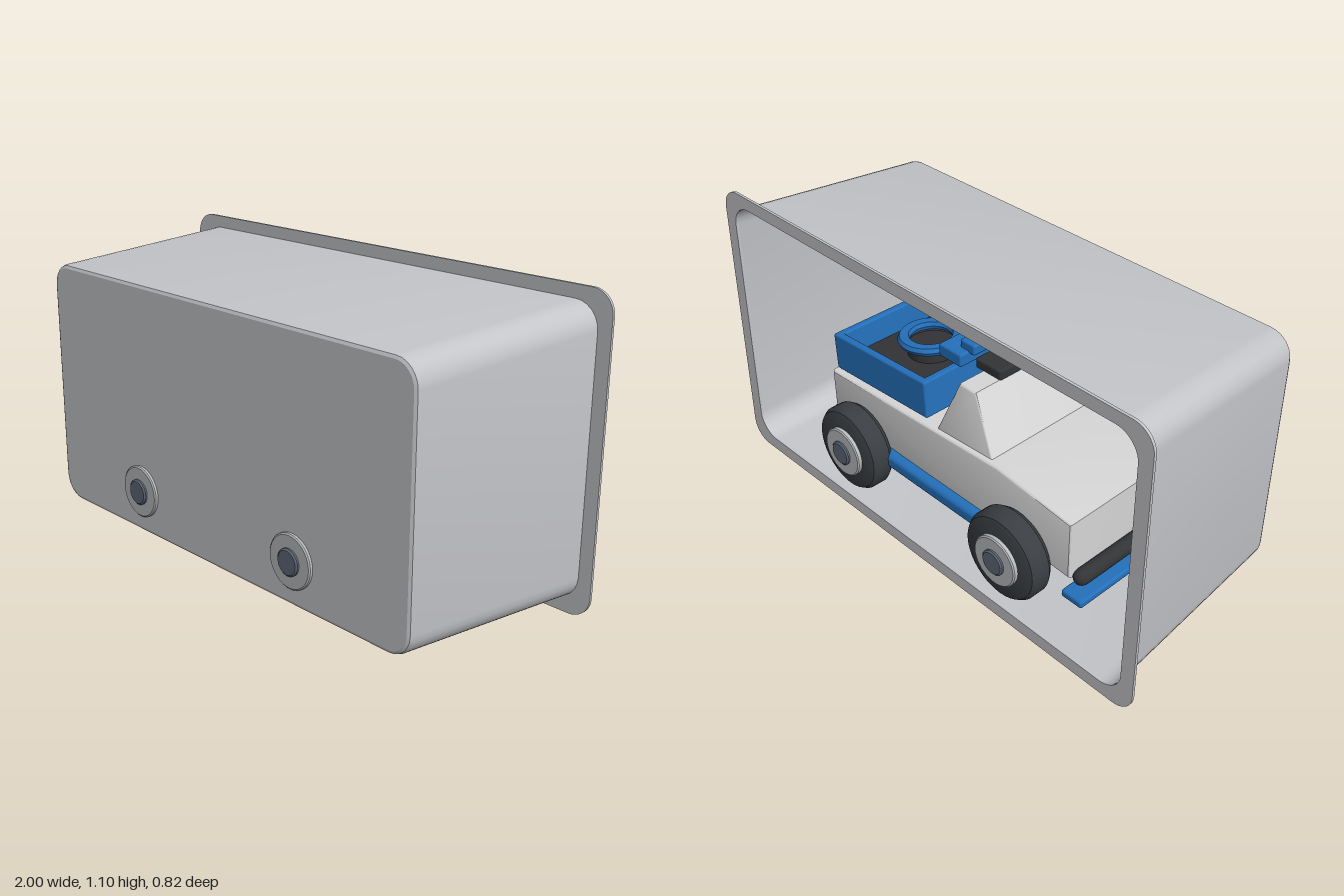
import * as THREE from 'three';
import { toCreasedNormals } from 'three/addons/utils/BufferGeometryUtils.js';
import { RoundedBoxGeometry } from 'three/addons/geometries/RoundedBoxGeometry.js';

const material = (name, color, side = THREE.FrontSide) => {
  const m = new THREE.MeshStandardMaterial({ color, side });
  m.name = name;
  return m;
};
const tubGrey = material('tub grey', 0xc4c5c9, THREE.DoubleSide);
const bodyGrey = material('body grey', 0xd6d6d6);
const hubGrey = material('hub grey', 0xb8babd);
const capSlate = material('cap slate', 0x5f6877);
const blue = material('blue', 0x2470bb);
const rubber = material('rubber', 0x3a3e42);
const trim = material('dark trim', 0x333436);

function add(parent, name, geometry, mat, x = 0, y = 0, z = 0) {
  const mesh = new THREE.Mesh(geometry, mat);
  mesh.name = name;
  mesh.position.set(x, y, z);
  parent.add(mesh);
  return mesh;
}

const block = (w, h, d, r = 0.008) => new RoundedBoxGeometry(w, h, d, 2, r);

// Rounded rectangle centred on (0, cy)
function roundedRect(Type, hw, hh, cy, r) {
  const s = new Type();
  s.absarc(hw - r, cy + hh - r, r, 0, Math.PI / 2);
  s.absarc(-hw + r, cy + hh - r, r, Math.PI / 2, Math.PI);
  s.absarc(-hw + r, cy - hh + r, r, Math.PI, Math.PI * 1.5);
  s.absarc(hw - r, cy - hh + r, r, Math.PI * 1.5, Math.PI * 2);
  s.closePath();
  return s;
}

// Tapered tray lying on its side: lofted walls, end panel and flat rim
function makeTub() {
  const tub = new THREE.Group();
  tub.name = 'tub';
  const sections = [
    [-0.378, 0.95, 0.503, 0.09], [0.37, 0.906, 0.459, 0.088],
    [0.38, 0.902, 0.455, 0.084], [0.385, 0.892, 0.445, 0.075],
  ];
  const positions = [], index = [];
  let n = 0;
  for (const [z, hw, hh, r] of sections) {
    const pts = [];
    for (let c = 0; c < 4; c++) {
      const sx = c === 0 || c === 3 ? 1 : -1, sy = c < 2 ? 1 : -1;
      for (let i = 0; i <= 6; i++) {
        const a = (c + i / 6) * Math.PI / 2;
        pts.push([sx * (hw - r) + r * Math.cos(a), 0.552 + sy * (hh - r) + r * Math.sin(a)]);
      }
    }
    n = pts.length;
    for (const [x, y] of pts) positions.push(x, y, z);
  }
  for (let k = 0; k < sections.length - 1; k++) {
    for (let i = 0; i < n; i++) {
      const a = k * n + i, b = k * n + (i + 1) % n;
      index.push(a, b, b + n, a, b + n, a + n);
    }
  }
  const walls = new THREE.BufferGeometry();
  walls.setAttribute('position', new THREE.Float32BufferAttribute(positions, 3));
  walls.setIndex(index);
  add(tub, 'tubWalls', toCreasedNormals(walls, 0.5), tubGrey);
  const panel = roundedRect(THREE.Shape, 0.892, 0.445, 0.552, 0.075);
  add(tub, 'tubEndPanel', new THREE.ShapeGeometry(panel, 6), tubGrey, 0, 0, 0.385);
  const rim = roundedRect(THREE.Shape, 1, 0.55, 0.55, 0.08);
  rim.holes.push(roundedRect(THREE.Path, 0.948, 0.501, 0.552, 0.088));
  const rimGeometry = new THREE.ExtrudeGeometry(rim, { depth: 0.01, bevelEnabled: false, curveSegments: 8 });
  add(tub, 'rim', rimGeometry, tubGrey, 0, 0, -0.385);
  return tub;
}

// Turned part about the z axis, outer face toward +z
function turned(profile) {
  const g = new THREE.LatheGeometry(profile.map(([r, h]) => new THREE.Vector2(r, h)), 36);
  g.rotateX(Math.PI / 2);
  return toCreasedNormals(g, 0.6);
}

function makeWheel(x, side) {
  const wheel = new THREE.Group();
  wheel.name = 'wheel';
  add(wheel, 'tire', turned([[0, 0.28], [0.13, 0.28], [0.152, 0.288], [0.164, 0.305],
    [0.164, 0.355], [0.153, 0.373], [0.132, 0.381], [0, 0.381]]), rubber);
  add(wheel, 'hub', turned([[0, 0.375], [0.095, 0.375], [0.095, 0.394], [0.09, 0.398], [0, 0.398]]), hubGrey);
  add(wheel, 'hubCap', turned([[0, 0.39], [0.047, 0.39], [0.047, 0.404], [0.041, 0.409], [0, 0.409]]), capSlate);
  wheel.position.set(x, 0.25, 0);
  if (side < 0) wheel.rotation.y = Math.PI;
  return wheel;
}

// Side profile extruded across the width, with a small bevel
function slab(points, halfWidth, bevel) {
  const shape = new THREE.Shape(points.map(([x, y]) => new THREE.Vector2(x, y)));
  const g = new THREE.ExtrudeGeometry(shape, {
    depth: 2 * (halfWidth - bevel), bevelThickness: bevel, bevelSize: bevel,
    bevelOffset: -bevel, bevelSegments: 3,
  });
  g.translate(0, 0, bevel - halfWidth);
  return toCreasedNormals(g, 0.5);
}

// Open cargo bed with a spare ring on its floor
function makeBed() {
  const bed = new THREE.Group();
  bed.name = 'cargoBed';
  for (const s of [-1, 1]) {
    add(bed, 'bedSide', block(0.5, 0.145, 0.03), blue, 0, 0, s * 0.25);
    add(bed, 'bedEnd', block(0.03, 0.145, 0.52), blue, s * 0.235, 0, 0);
  }
  add(bed, 'bedFloor', new THREE.BoxGeometry(0.46, 0.03, 0.49), trim, 0, -0.04, 0);
  const ring = turned([[0.082, -0.015], [0.115, -0.015], [0.123, 0], [0.115, 0.015], [0.082, 0.015], [0.076, 0], [0.082, -0.015]]);
  ring.rotateX(-Math.PI / 2);
  add(bed, 'spareRing', ring, blue, 0.02, 0.035, 0);
  add(bed, 'spareMount', new THREE.CylinderGeometry(0.09, 0.09, 0.04, 24), trim, 0.02, -0.01, 0);
  bed.position.set(0.325, 0.566, 0);
  bed.rotation.z = -0.06;
  return bed;
}

function makeTruck() {
  const truck = new THREE.Group();
  truck.name = 'truck';
  add(truck, 'body', slab([[-0.625, 0.25], [0.58, 0.29], [0.585, 0.468], [-0.29, 0.512], [-0.625, 0.476]], 0.28, 0.012), bodyGrey);

  // Cab narrows toward its roof
  const cab = slab([[0.024, 0.49], [-0.06, 0.706], [-0.137, 0.706], [-0.258, 0.49]].reverse(), 0.262, 0.008);
  const p = cab.attributes.position;
  for (let i = 0; i < p.count; i++) p.setZ(i, p.getZ(i) * (1 - 0.13 * (p.getY(i) - 0.49) / 0.216));
  add(truck, 'cab', toCreasedNormals(cab, 0.5), bodyGrey);

  // Roof plate and gear bar
  add(truck, 'roofPlate', block(0.12, 0.04, 0.24), trim, -0.08, 0.72, 0);
  add(truck, 'gearBar', block(0.11, 0.05, 0.32), blue, 0.065, 0.725, 0);
  for (const z of [-0.08, 0.08]) {
    add(truck, 'gearBlock', block(0.07, 0.04, 0.08), blue, 0.02, 0.76, z);
  }
  for (let i = 0; i < 4; i++) {
    add(truck, 'gearProng', block(0.015, 0.06, 0.015, 0.004), blue, 0.05, 0.77, 0.03 + i * 0.035);
  }

  // Bumpers, sills and axles
  for (const [x, y] of [[-0.645, 0.25], [0.6, 0.26]]) {
    const bar = add(truck, 'bumperBar', new THREE.CapsuleGeometry(0.03, 0.48, 4, 12), trim, x, y, 0);
    bar.rotation.x = Math.PI / 2;
  }
  add(truck, 'frontStep', block(0.09, 0.03, 0.6, 0.01), blue, -0.655, 0.195, 0);
  for (const s of [-1, 1]) {
    add(truck, 'sill', block(0.58, 0.06, 0.06, 0.02), blue, 0, 0.255, s * 0.285);
  }
  for (const x of [-0.4, 0.4]) {
    const axle = add(truck, 'axle', new THREE.CylinderGeometry(0.03, 0.03, 0.6, 16), trim, x, 0.25, 0);
    axle.rotation.x = Math.PI / 2;
    for (const s of [-1, 1]) truck.add(makeWheel(x, s));
  }
  truck.add(makeBed());
  return truck;
}

export function createModel() {
  const model = new THREE.Group();
  model.name = 'truckInTub';
  model.add(makeTub(), makeTruck());
  return model;
}
